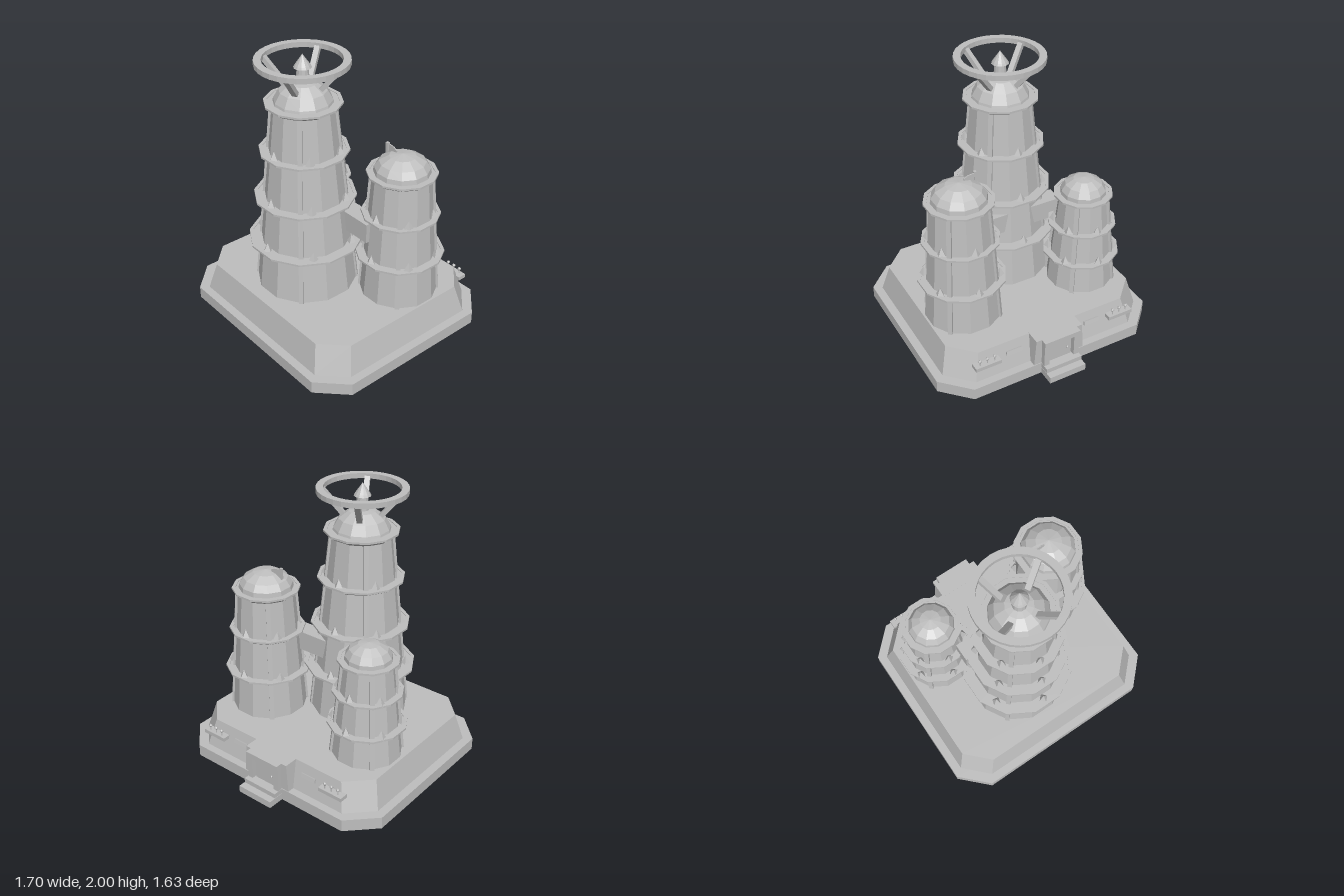
import * as THREE from 'three';
import { ConvexGeometry } from 'three/addons/geometries/ConvexGeometry.js';

const SIDES = 12;

export function createModel() {
  const stone = new THREE.MeshStandardMaterial({ color: 0xbebebe });
  stone.name = 'stone grey';
  stone.flatShading = true;
  const model = new THREE.Group();
  model.name = 'threeTowerFortress';

  const add = (parent, name, geometry, x = 0, y = 0, z = 0) => {
    const mesh = new THREE.Mesh(geometry, stone);
    mesh.name = name;
    mesh.position.set(x, y, z);
    parent.add(mesh);
    return mesh;
  };
  // box given by its limits
  const box = (parent, name, x0, x1, y0, y1, z0, z1) =>
    add(parent, name, new THREE.BoxGeometry(x1 - x0, y1 - y0, z1 - z0),
      (x0 + x1) / 2, (y0 + y1) / 2, (z0 + z1) / 2);
  // turned part; radii are measured to the middle of a facet
  const turned = (parent, name, profile) =>
    add(parent, name, new THREE.LatheGeometry(
      profile.map(([r, y]) => new THREE.Vector2(r / Math.cos(Math.PI / SIDES), y)), SIDES, Math.PI / SIDES));
  // ordered outline of a rectangle with cut corners, in x and z
  const octagon = (hx, z0, z1, c) => [[-hx, z0 + c], [-hx + c, z0], [hx - c, z0], [hx, z0 + c],
    [hx, z1 - c], [hx - c, z1], [-hx + c, z1], [-hx, z1 - c]].map(p => new THREE.Vector2(...p));
  // solid between two outlines at two heights
  const loft = (name, low, y0, high, y1) => add(model, name, new ConvexGeometry([
    ...low.map(p => new THREE.Vector3(p.x, y0, p.y)), ...high.map(p => new THREE.Vector3(p.x, y1, p.y))]));

  // stepped base: plinth hollow underneath, sloped block above
  const plinth = octagon(0.85, -0.695, 0.815, 0.19);
  const skirt = new THREE.Shape(plinth);
  skirt.holes.push(new THREE.Path(octagon(0.842, -0.687, 0.807, 0.187)));
  const skirtGeometry = new THREE.ExtrudeGeometry(skirt, { depth: 0.086, bevelEnabled: false });
  skirtGeometry.rotateX(Math.PI / 2);
  add(model, 'plinthSkirt', skirtGeometry, 0, 0.086, 0);
  loft('plinthTop', plinth, 0.084, plinth, 0.09);
  loft('slopedBase', octagon(0.79, -0.64, 0.757, 0.17), 0.088, octagon(0.737, -0.587, 0.707, 0.165), 0.297);

  // one tower: tapered wall, ribs, spiked ring walkways, dome
  function tower(name, { x, z, r0, r1, top, rings, depth, dome }) {
    const g = new THREE.Group();
    g.name = name;
    g.position.set(x, 0, z);
    model.add(g);
    const wall = y => r0 + (r1 - r0) * (y - 0.297) / (top - 0.297);
    turned(g, 'wall', [[r0, 0.29], [r1, top - 0.01]]);

    // ribs on the diagonals
    for (let i = 0; i < 4; i++) {
      const pts = [];
      for (const y of [0.29, top - 0.02]) for (const w of [-0.016, 0.016]) for (const d of [-0.03, 0.02])
        pts.push(new THREE.Vector3(w, y, wall(y) + d));
      add(g, 'rib', new ConvexGeometry(pts)).rotation.y = Math.PI / 4 + i * Math.PI / 2;
    }

    // ring walkways flaring out of the wall, with a shallow rim
    for (const [y, R, spikeR] of rings) {
      const w = wall(y) - 0.012;
      turned(g, 'ringWalkway', [[w, y - depth], [R, y - 0.014], [R, y], [R - 0.024, y],
        [R - 0.024, y - 0.004], [w, y - 0.004]]);
      if (!spikeR) continue;
      for (let i = 0; i < 6; i++) {
        const a = i * Math.PI / 3;
        const spike = add(g, 'spike', new THREE.ConeGeometry(0.035, 0.062, 4),
          spikeR * Math.sin(a), y + 0.024, spikeR * Math.cos(a));
        spike.rotation.y = a;
      }
    }
    turned(g, 'dome', dome);
    return g;
  }

  const main = tower('mainTower', {
    x: -0.067, z: 0.264, r0: 0.344, r1: 0.2, top: 1.68, depth: 0.056,
    rings: [[0.652, 0.388, 0.335], [0.986, 0.342, 0.29], [1.333, 0.297, 0.25], [1.678, 0.254, 0]],
    dome: [[0.198, 1.66], [0.19, 1.69], [0.155, 1.755], [0.09, 1.805], [0, 1.82]],
  });
  const middle = tower('middleTower', {
    x: 0.459, z: -0.137, r0: 0.264, r1: 0.195, top: 1.235, depth: 0.05,
    rings: [[0.615, 0.3, 0.262], [0.925, 0.262, 0.224], [1.233, 0.233, 0]],
    dome: [[0.188, 1.22], [0.182, 1.262], [0.152, 1.308], [0.088, 1.347], [0, 1.362]],
  });
  tower('smallTower', {
    x: -0.477, z: -0.186, r0: 0.238, r1: 0.163, top: 1.02, depth: 0.042,
    rings: [[0.542, 0.267, 0.236], [0.785, 0.235, 0.202], [1.02, 0.203, 0]],
    dome: [[0.158, 1.0], [0.154, 1.045], [0.127, 1.092], [0.07, 1.128], [0, 1.138]],
  });

  // spire on the main tower
  turned(main, 'spire', [[0.048, 1.79], [0.036, 1.91], [0.058, 1.91], [0.05, 1.925], [0, 2]]);

  // raised halo carried by four leaning struts
  add(main, 'halo', new THREE.LatheGeometry([[0.262, 1.934], [0.312, 1.934], [0.312, 1.97], [0.262, 1.97],
    [0.262, 1.934]].map(p => new THREE.Vector2(...p)), 32));
  for (let i = 0; i < 4; i++) {
    const arm = new THREE.Group();
    arm.name = 'haloStrut';
    arm.rotation.y = Math.PI / 6 + i * Math.PI / 2;
    main.add(arm);
    const a = new THREE.Vector2(0.12, 1.765), b = new THREE.Vector2(0.28, 1.95);
    const strut = add(arm, 'strut', new THREE.BoxGeometry(0.038, a.distanceTo(b), 0.032),
      0, (a.y + b.y) / 2, (a.x + b.x) / 2);
    strut.rotation.x = Math.atan2(b.x - a.x, b.y - a.y);
  }

  // small mast and pennant on the middle tower's dome
  box(middle, 'mast', -0.138, -0.118, 1.28, 1.398, 0.007, 0.027);
  const pennant = new THREE.Shape([[-0.118, 1.3], [-0.045, 1.3], [-0.045, 1.368], [-0.075, 1.383], [-0.118, 1.388]]
    .map(p => new THREE.Vector2(...p)));
  add(middle, 'pennant', new THREE.ExtrudeGeometry(pennant, { depth: 0.008, bevelEnabled: false }), 0, 0, 0.008);

  // bridge joining the towers
  box(model, 'bridge', -0.397, 0.4, 0.737, 0.88, -0.01, 0.12);

  // rear entrance, its porch widening slightly towards the ground
  const entrance = new THREE.Group();
  entrance.name = 'entrance';
  model.add(entrance);
  const porch = new THREE.Shape([[-0.198, 0.085], [0.198, 0.085], [0.182, 0.298], [-0.182, 0.298]]
    .map(p => new THREE.Vector2(...p)));
  add(entrance, 'porch', new THREE.ExtrudeGeometry(porch, { depth: 0.12, bevelEnabled: false }), 0, 0, -0.69);
  box(entrance, 'lintel', -0.14, 0.14, 0.262, 0.298, -0.738, -0.68);
  for (const s of [-1, 1]) box(entrance, 'doorPost', s * 0.118 - 0.02, s * 0.118 + 0.02, 0.08, 0.27, -0.728, -0.68);
  box(entrance, 'door', -0.09, 0.09, 0.085, 0.25, -0.699, -0.69);
  add(entrance, 'doorKnob', new THREE.IcosahedronGeometry(0.009), -0.06, 0.16, -0.705);
  box(entrance, 'upperStep', -0.14, 0.14, 0, 0.085, -0.765, -0.68);
  box(entrance, 'lowerStep', -0.142, 0.142, 0, 0.05, -0.817, -0.68);

  // slit windows and planters either side of the entrance
  for (const s of [-1, 1]) {
    const slit = add(model, 'slitWindow', new THREE.BoxGeometry(0.12, 0.03, 0.02), s * 0.312, 0.215, -0.61);
    slit.rotation.x = 0.25;
    box(model, 'planter', s * 0.53 - 0.096, s * 0.53 + 0.096, 0.2, 0.228, -0.66, -0.595);
    for (const d of [-0.055, 0, 0.055]) {
      add(model, 'plantStem', new THREE.CylinderGeometry(0.004, 0.004, 0.04, 5), s * 0.53 + d, 0.244, -0.638);
      add(model, 'plantBloom', new THREE.IcosahedronGeometry(0.013), s * 0.53 + d, 0.265, -0.638);
    }
  }
  return model;
}
